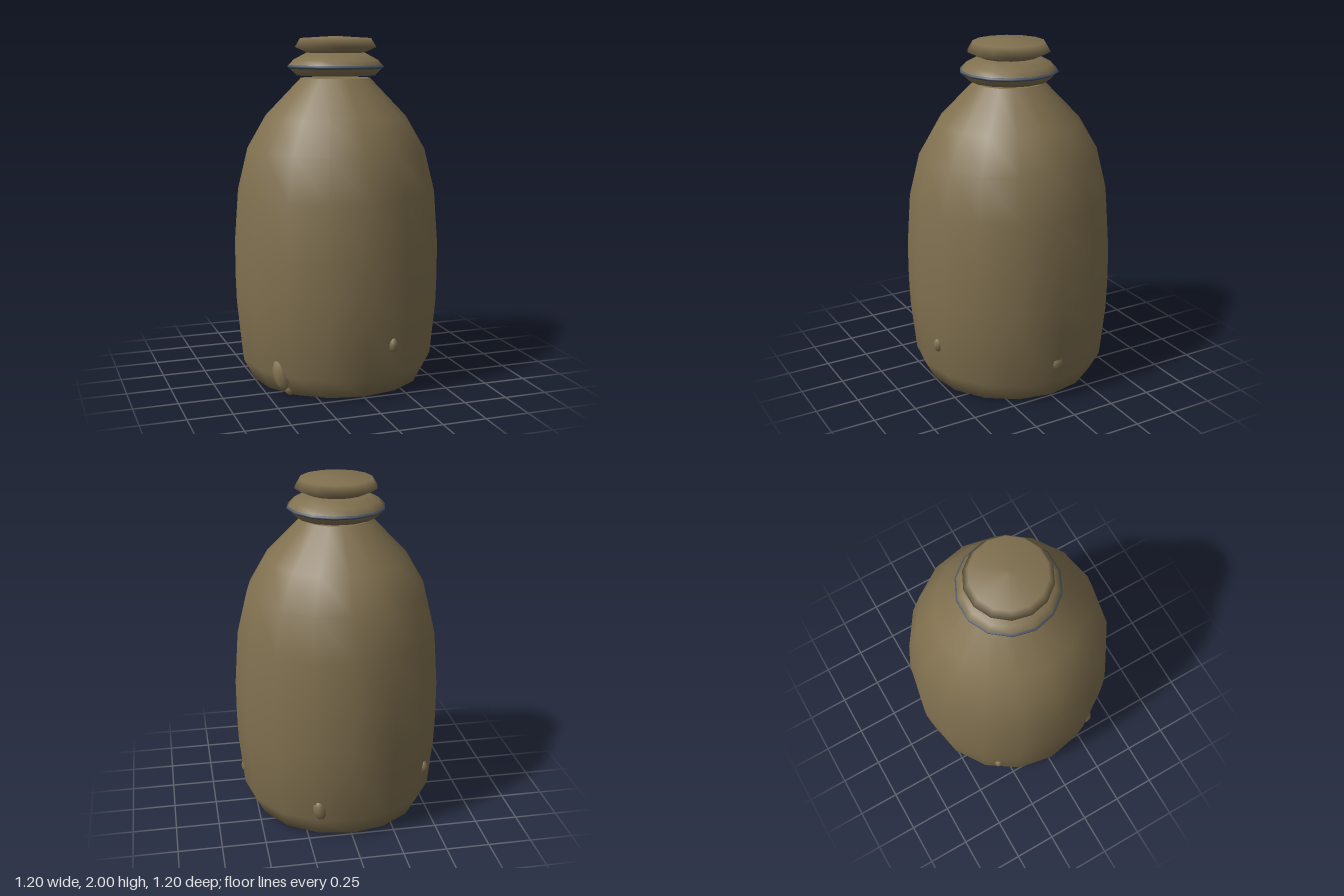
import * as THREE from 'three';

export function createModel() {
  const model = new THREE.Group();
  model.name = 'bottle';

  const clay = new THREE.MeshStandardMaterial({ color: 0x80704f });
  clay.name = 'brown clay';
  const blue = new THREE.MeshStandardMaterial({ color: 0x4b5666 });
  blue.name = 'slate blue';

  const add = (name, geometry, material) => {
    const mesh = new THREE.Mesh(geometry, material);
    mesh.name = name;
    model.add(mesh);
    return mesh;
  };
  // Profiles run from bottom to top as [radius, height]
  const turn = (name, profile, sides, material) => add(name, new THREE.LatheGeometry(
    profile.map(([r, y]) => new THREE.Vector2(r, y)), sides, Math.PI / 2), material);

  // Body with its base, and a disc closing the neck
  turn('body', [[0, 0.012], [0.505, 0.012], [0.565, 0.13], [0.595, 0.43], [0.6, 0.59], [0.6, 0.8],
    [0.577, 1.11], [0.517, 1.355], [0.408, 1.545], [0.2, 1.762]], 16, clay);
  const neck = add('neckTop', new THREE.CircleGeometry(0.2, 16), clay);
  neck.rotation.x = -Math.PI / 2;
  neck.position.y = 1.762;

  // Collar floating just above the neck, with a coloured band round its widest part
  turn('collar', [[0, 1.777], [0.23, 1.777], [0.272, 1.82], [0.272, 1.835], [0.245, 1.865],
    [0.17, 1.905], [0, 1.905]], 14, clay);
  turn('collarBand', [[0.262, 1.812], [0.28, 1.822], [0.28, 1.83], [0.262, 1.842]], 14, blue);

  // Cap
  turn('cap', [[0, 1.903], [0.165, 1.905], [0.236, 1.937], [0.205, 1.988], [0, 2]], 14, clay);

  // Small lumps: position, then half width, half height, half depth, and tilt
  const lumps = [
    [-0.435, 0.13, 0.33, 0.045, 0.09, 0.045, 0.3],
    [-0.375, 0.04, 0.31, 0.035, 0.04, 0.04, 0.3],
    [0.148, 0.31, 0.548, 0.028, 0.042, 0.03, 0],
    [0.555, 0.24, 0, 0.042, 0.048, 0.03, 0],
    [0.19, 0.2, -0.52, 0.04, 0.065, 0.04, 0.2],
    [-0.46, 0.31, -0.335, 0.026, 0.04, 0.03, 0],
  ];
  for (const [x, y, z, w, h, d, tilt] of lumps) {
    const lump = add('lump', new THREE.SphereGeometry(1, 8, 6), clay);
    lump.position.set(x, y, z);
    lump.scale.set(w, h, d);
    lump.rotation.set(0, Math.atan2(x, z), tilt, 'YXZ');
  }
  return model;
}
